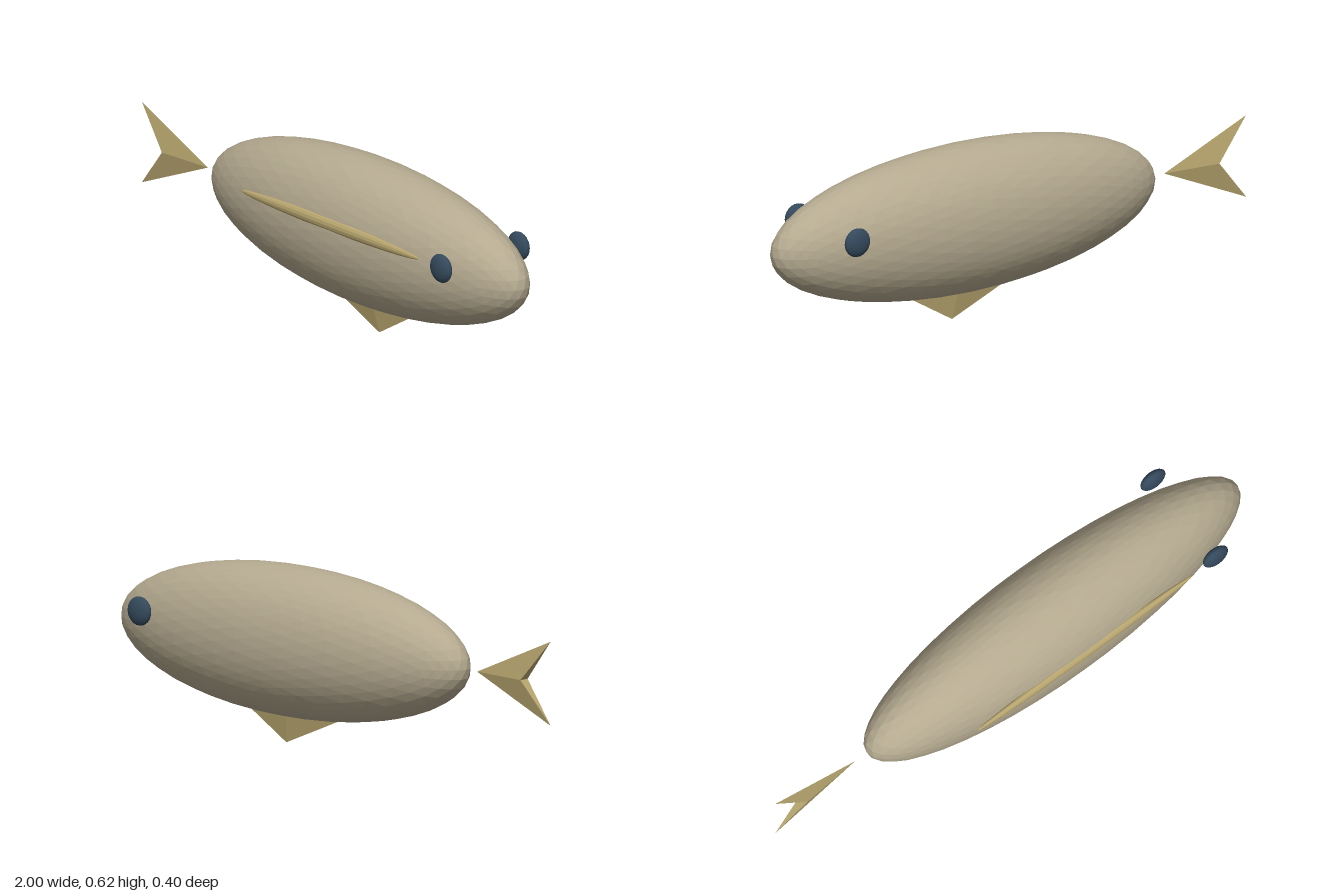
import * as THREE from 'three';

const flat = (name, color) => {
  const m = new THREE.MeshStandardMaterial({ color, flatShading: true });
  m.name = name;
  return m;
};

export function createModel() {
  const fish = new THREE.Group();
  fish.name = 'fish';
  const skin = flat('skin', 0xb5aa90);
  const finColor = flat('fin', 0xb8a66f);
  const eyeColor = flat('eye', 0x34495c);

  const add = (name, geo, mat) => {
    const mesh = new THREE.Mesh(geo, mat);
    mesh.name = name;
    fish.add(mesh);
    return mesh;
  };
  const ellipsoid = (name, geo, mat, pos, radii) => {
    const mesh = add(name, geo, mat);
    mesh.position.set(...pos);
    mesh.scale.set(...radii);
    return mesh;
  };

  // Faceted ridge fin: an outline (tip, corner, notch, corner, counter-clockwise),
  // with the notch thickened to a ridge that runs from the tip
  const ridgeFin = (tip, a, notch, b, half) => {
    const T = [...tip, 0], A = [...a, 0], B = [...b, 0];
    const F = [...notch, half], K = [...notch, -half];
    const faces = [T, A, F, T, F, B, T, K, A, T, B, K, A, K, F, B, F, K];
    const geo = new THREE.BufferGeometry();
    geo.setAttribute('position', new THREE.Float32BufferAttribute(faces.flat(), 3));
    geo.computeVertexNormals();
    return geo;
  };

  // Body
  ellipsoid('body', new THREE.IcosahedronGeometry(1, 7), skin, [0.195, 0.358, 0], [0.8, 0.264, 0.2]);

  // Eyes, one on each flank
  for (const side of [1, -1]) {
    ellipsoid(side > 0 ? 'frontEye' : 'backEye', new THREE.IcosahedronGeometry(1, 3), eyeColor,
      [0.765, 0.415, side * 0.176], [0.051, 0.051, 0.024]);
  }

  // Long slender fin lying along one flank
  const spindle = new THREE.SphereGeometry(1, 12, 14).rotateZ(Math.PI / 2);
  ellipsoid('sideFin', spindle, finColor, [0.195, 0.423, 0.186], [0.465, 0.023, 0.016]);

  // Forked tail and belly fin (its top is buried in the body)
  add('tail', ridgeFin([-0.655, 0.358], [-1, 0.505], [-0.875, 0.358], [-1, 0.212], 0.018), finColor);
  add('bellyFin', ridgeFin([0.24, 0], [0.46, 0.13], [0.22, 0.13], [-0.07, 0.13], 0.023), finColor);

  return fish;
}
